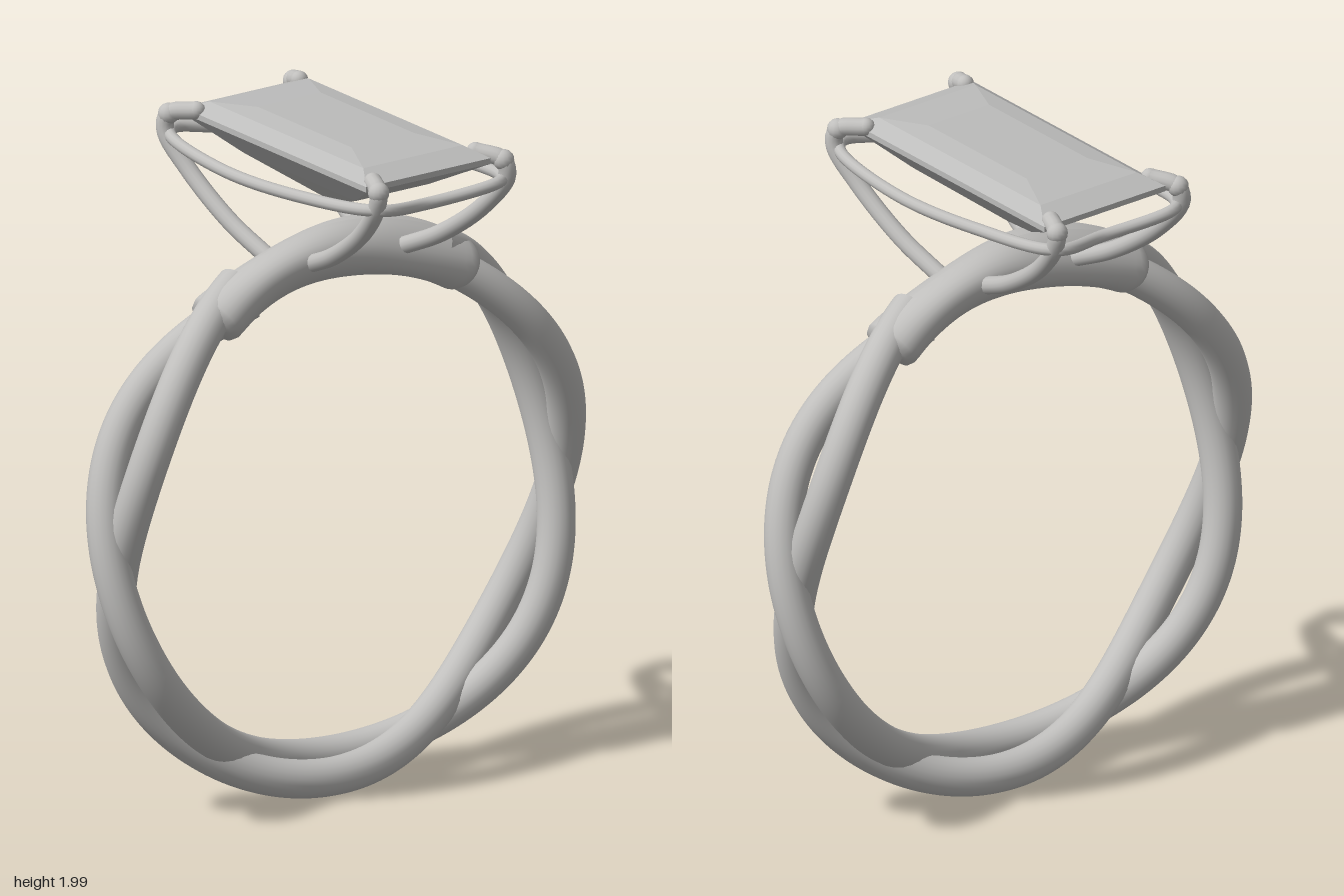
import * as THREE from 'three';

const CY = 0.843, R = 0.778; // ring centre height and mean radius
const V = (x, y, z) => new THREE.Vector3(x, y, z);

// One strand of the twisted band, left open where the saddle covers it
class StrandCurve extends THREE.Curve {
  constructor(phase) {
    super();
    this.phase = phase;
  }
  getPoint(t, target = new THREE.Vector3()) {
    const a = THREE.MathUtils.degToRad(115 + 310 * t);
    const w = 3 * a + this.phase;
    const r = R + 0.022 * Math.cos(w);
    return target.set(r * Math.cos(a), CY + r * Math.sin(a), 0.08 * Math.sin(w));
  }
}

// Oval arc with a slight twist and rounded ends
function saddleGeometry() {
  const rows = 48, sides = 28, pos = [], idx = [];
  for (let i = 0; i <= rows; i++) {
    const t = (i / rows) * 2 - 1;
    const a = Math.PI / 2 + t * 0.63;
    const edge = Math.abs(t);
    const s = edge === 1 ? 0 : 1 - 0.22 * THREE.MathUtils.smoothstep(edge, 0.9, 1);
    const tilt = 0.35 * Math.sin(t * Math.PI);
    for (let j = 0; j <= sides; j++) {
      const p = (j / sides) * Math.PI * 2;
      const u = 0.08 * s * Math.cos(p - tilt), v = 0.098 * s * Math.sin(p);
      const r = R - 0.008 + u;
      pos.push(r * Math.cos(a), CY + r * Math.sin(a), v);
      if (i < rows && j < sides) {
        const k = i * (sides + 1) + j, n = k + sides + 1;
        idx.push(k, n, k + 1, n, n + 1, k + 1);
      }
    }
  }
  const g = new THREE.BufferGeometry();
  g.setAttribute('position', new THREE.Float32BufferAttribute(pos, 3));
  g.setIndex(idx);
  g.computeVertexNormals();
  return g;
}

// Step-cut stone: rectangles [half width, height, half length] from table to culet
function stoneGeometry() {
  const levels = [
    [0.11, 2.0, 0.225], [0.175, 1.99, 0.37], [0.22, 1.962, 0.445],
    [0.22, 1.945, 0.445], [0.13, 1.855, 0.27], [0.001, 1.75, 0.001],
  ].map(([x, y, z]) => [V(x, y, z), V(x, y, -z), V(-x, y, -z), V(-x, y, z)]);
  const pts = [];
  const quad = (a, b, c, d) => pts.push(a, b, c, a, c, d);
  quad(...levels[0]);
  for (let l = 0; l < levels.length - 1; l++) {
    for (let i = 0; i < 4; i++) {
      const j = (i + 1) % 4;
      quad(levels[l][i], levels[l + 1][i], levels[l + 1][j], levels[l][j]);
    }
  }
  const g = new THREE.BufferGeometry().setFromPoints(pts);
  g.computeVertexNormals();
  return g;
}

export function createModel() {
  const model = new THREE.Group();
  model.name = 'ring';
  const metal = new THREE.MeshStandardMaterial({ color: 0xc0bfbd });
  metal.name = 'silver metal';
  const crystal = new THREE.MeshStandardMaterial({ color: 0xbcbcbb });
  crystal.name = 'pale stone';

  const add = (parent, name, geometry, material = metal) => {
    const mesh = new THREE.Mesh(geometry, material);
    mesh.name = name;
    parent.add(mesh);
    return mesh;
  };

  // Twisted band
  add(model, 'strandOne', new THREE.TubeGeometry(new StrandCurve(0), 220, 0.056, 20));
  add(model, 'strandTwo', new THREE.TubeGeometry(new StrandCurve(Math.PI), 220, 0.056, 20));
  add(model, 'saddle', saddleGeometry());

  // Claws: two shapes, repeated by a half turn
  const claws = [
    [V(-0.14, 1.61, 0.06), V(-0.165, 1.685, 0.22), V(-0.188, 1.8, 0.385),
      V(-0.2, 1.9, 0.468), V(-0.2, 1.95, 0.478), V(-0.185, 1.968, 0.43)],
    [V(0.185, 1.6, 0.06), V(0.215, 1.68, 0.22), V(0.245, 1.8, 0.38),
      V(0.27, 1.9, 0.455), V(0.262, 1.95, 0.45), V(0.213, 1.968, 0.382)],
  ];
  for (const [side, turn] of [['front', 0], ['back', Math.PI]]) {
    const pair = new THREE.Group();
    pair.name = side + 'Claws';
    pair.rotation.y = turn;
    claws.forEach((points) => {
      const curve = new THREE.CatmullRomCurve3(points);
      add(pair, 'claw', new THREE.TubeGeometry(curve, 40, 0.026, 14));
      add(pair, 'clawTip', new THREE.SphereGeometry(0.026, 14, 10))
        .position.copy(points[points.length - 1]);
      add(pair, 'clawKnuckle', new THREE.SphereGeometry(0.031, 14, 10))
        .position.copy(points[4]);
    });
    model.add(pair);
  }

  // Gallery wire looping round under the stone
  const half = [
    V(-0.2, 1.895, 0.475), V(0, 1.867, 0.437), V(0.22, 1.895, 0.475),
    V(0.275, 1.892, 0.42), V(0.298, 1.87, 0.12), V(0.26, 1.87, -0.18),
  ];
  const loop = [...half, ...half.map((p) => V(-p.x, p.y, -p.z))];
  add(model, 'galleryWire', new THREE.TubeGeometry(
    new THREE.CatmullRomCurve3(loop, true), 160, 0.018, 12, true));

  // Stone
  add(model, 'stone', stoneGeometry(), crystal);
  return model;
}
